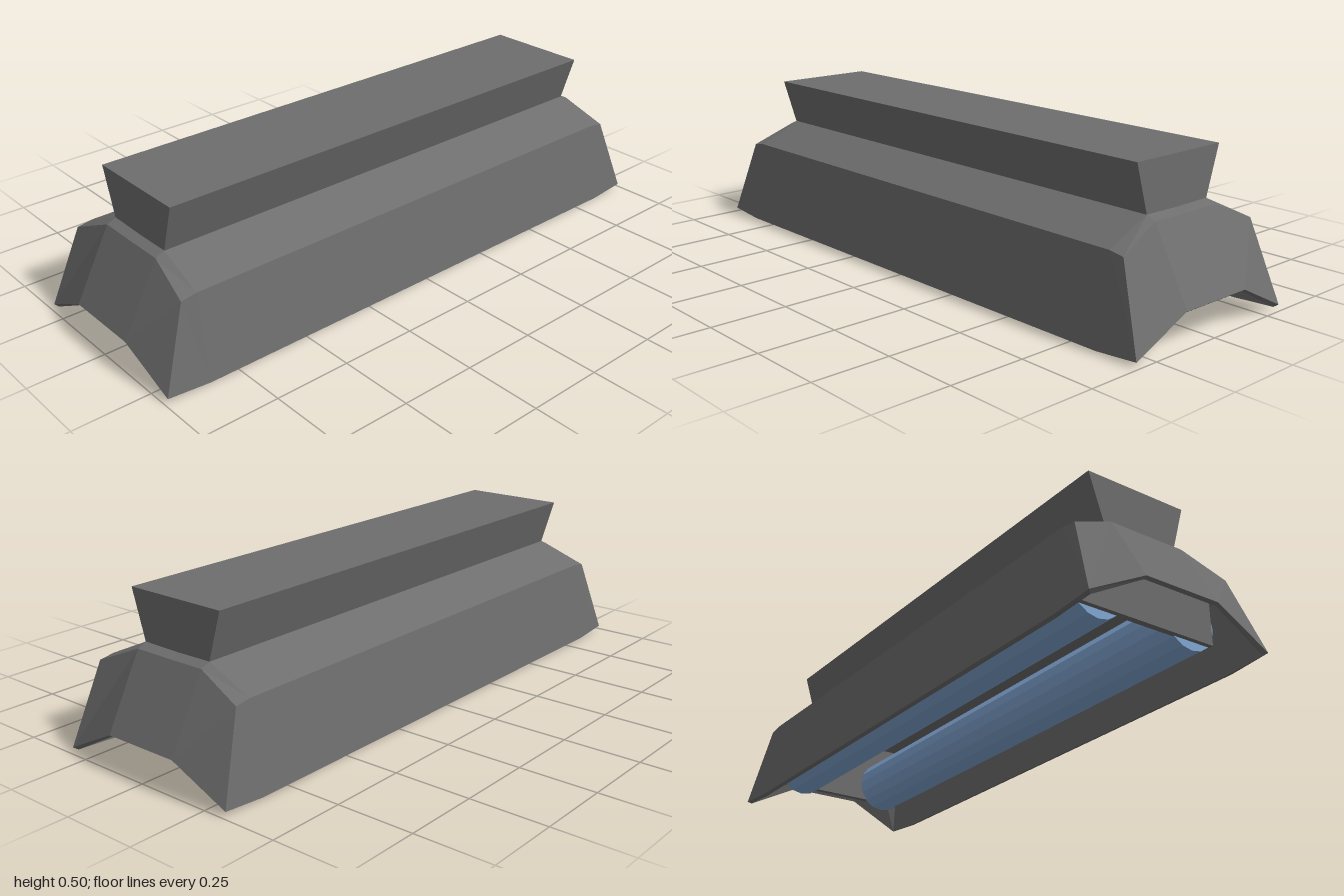
import * as THREE from 'three';

// Cross-section points [x, y, z] for the +x, +z quarter: lip, shoulder, middle
const OUTER = [
  [[0, 0.11, 1], [0.13, 0.11, 1], [0.32, 0.015, 0.99], [0.32, 0.015, 0.99]],
  [[0, 0.334, 0.88], [0.13, 0.335, 0.88], [0.28, 0.272, 0.9], [0.32, 0.015, 0.99]],
  [[0, 0.346, 0.85], [0.13, 0.348, 0.85], [0.28, 0.28, 0.85], [0.322, 0.004, 0.85]],
];
const INNER = [
  [[0, 0.103, 0.99], [0.13, 0.103, 0.99], [0.308, 0.008, 0.98], [0.308, 0.008, 0.98]],
  [[0, 0.324, 0.872], [0.13, 0.325, 0.872], [0.271, 0.265, 0.891], [0.308, 0.008, 0.98]],
  [[0, 0.336, 0.84], [0.13, 0.338, 0.84], [0.271, 0.273, 0.84], [0.308, 0, 0.84]],
];

// Mirror a quarter into the full grid: rows front to back, columns -x to +x
function fullGrid(quarter) {
  const half = quarter.map((row) => [
    ...row.slice(1).reverse().map(([x, y, z]) => [-x, y, z]),
    ...row,
  ]);
  const back = half.map((row) => row.map(([x, y, z]) => [x, y, -z])).reverse();
  return [...half, ...back];
}

// Thin-walled hood: outer skin, inner skin and the rim that joins them
function hoodGeometry() {
  const outer = fullGrid(OUTER), inner = fullGrid(INNER);
  const rows = outer.length, cols = outer[0].length;
  const pos = [];
  const same = (p, q) => p.every((v, k) => Math.abs(v - q[k]) < 1e-6);
  const tri = (a, b, c) => {
    if (!same(a, b) && !same(b, c) && !same(a, c)) pos.push(...a, ...b, ...c);
  };
  const quad = (a, b, c, d) => { tri(a, b, c); tri(a, c, d); };

  for (let i = 0; i < rows - 1; i++) {
    for (let j = 0; j < cols - 1; j++) {
      quad(outer[i][j], outer[i][j + 1], outer[i + 1][j + 1], outer[i + 1][j]);
      quad(inner[i][j], inner[i + 1][j], inner[i + 1][j + 1], inner[i][j + 1]);
    }
  }

  const loop = [];
  for (let j = 0; j < cols - 1; j++) loop.push([0, j]);
  for (let i = 0; i < rows - 1; i++) loop.push([i, cols - 1]);
  for (let j = cols - 1; j > 0; j--) loop.push([rows - 1, j]);
  for (let i = rows - 1; i > 0; i--) loop.push([i, 0]);
  loop.forEach(([i, j], k) => {
    const [m, n] = loop[(k + 1) % loop.length];
    quad(outer[i][j], inner[i][j], inner[m][n], outer[m][n]);
  });

  const geo = new THREE.BufferGeometry();
  geo.setAttribute('position', new THREE.Float32BufferAttribute(pos, 3));
  geo.computeVertexNormals();
  return geo;
}

export function createModel() {
  const model = new THREE.Group();
  model.name = 'tubeLight';

  const metal = new THREE.MeshStandardMaterial({ color: 0x6e6e6e, flatShading: true });
  metal.name = 'grey metal';
  const glass = new THREE.MeshStandardMaterial({ color: 0x82a8d4, flatShading: true });
  glass.name = 'blue glass';

  const add = (name, geo, mat) => {
    const mesh = new THREE.Mesh(geo, mat);
    mesh.name = name;
    model.add(mesh);
    return mesh;
  };

  add('hood', hoodGeometry(), metal);

  // Flared ceiling mount
  const profile = new THREE.Shape([
    new THREE.Vector2(-0.129, 0.342), new THREE.Vector2(0.129, 0.342),
    new THREE.Vector2(0.178, 0.502), new THREE.Vector2(-0.178, 0.502),
  ]);
  const mount = new THREE.ExtrudeGeometry(profile, { depth: 1.7, bevelEnabled: false });
  mount.translate(0, 0, -0.85);
  add('ceilingMount', mount, metal);

  // Lamp tubes
  for (const [side, s] of [['left', 1], ['right', -1]]) {
    const tube = new THREE.CylinderGeometry(0.091, 0.091, 1.7, 16);
    tube.rotateX(Math.PI / 2);
    add(side + 'LampTube', tube, glass).position.set(0.17 * s, 0.128, 0);
  }

  // Plates holding the tube ends
  for (const [end, s] of [['front', 1], ['back', -1]]) {
    const plate = new THREE.BoxGeometry(0.48, 0.215, 0.02);
    add(end + 'TubeHolder', plate, metal).position.set(0, 0.1725, 0.855 * s);
  }

  return model;
}
